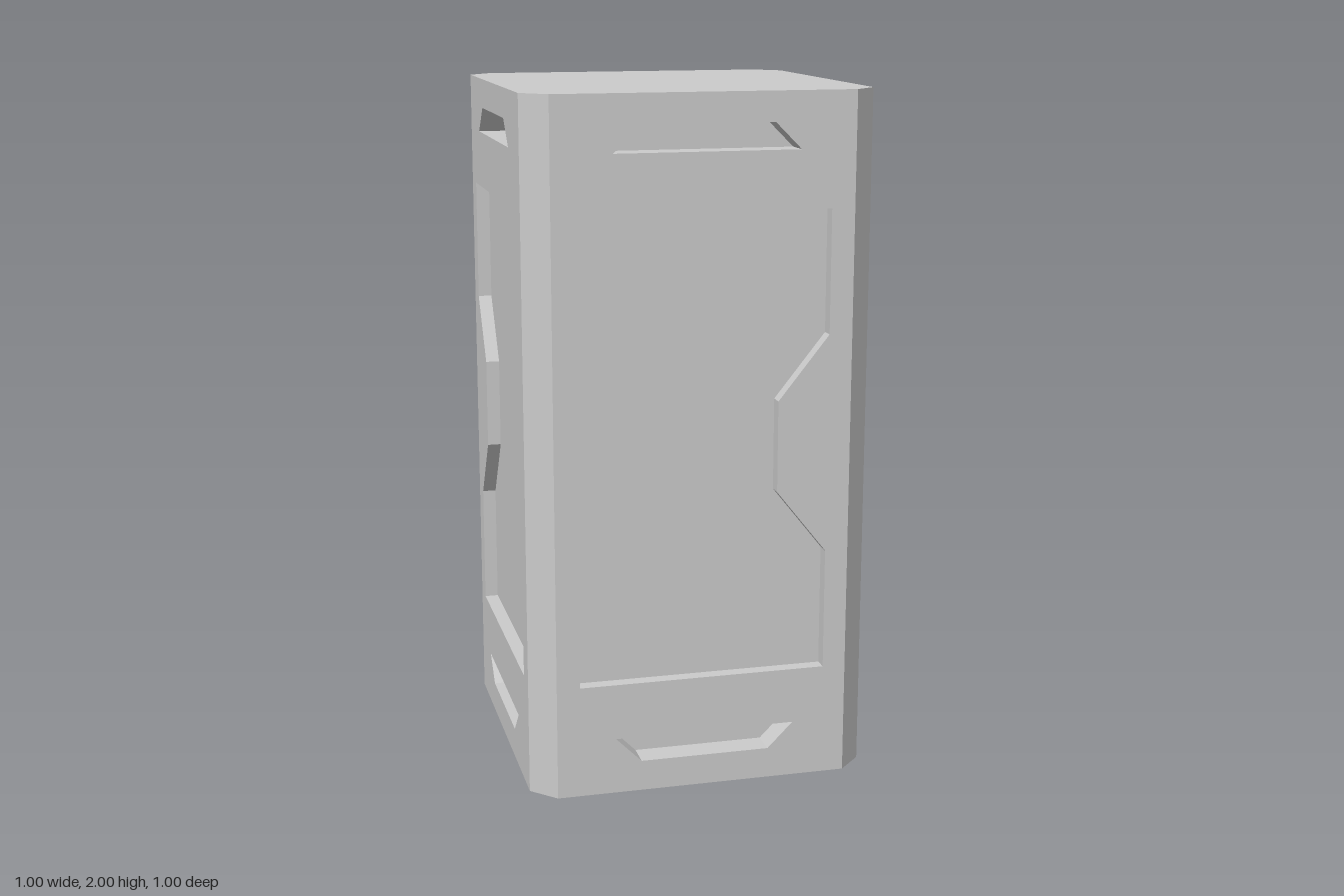
import * as THREE from 'three';

const HALF = 0.5, FLAT = 0.43, HEIGHT = 2;
const PANEL_DEPTH = 0.04, SLOT_DEPTH = 0.08;

const material = new THREE.MeshStandardMaterial({ color: 0xcccccc, flatShading: true });
const toPoints = (list) => list.map(([x, y]) => new THREE.Vector2(x, y));

function addMesh(parent, name, geometry) {
  const mesh = new THREE.Mesh(geometry, material);
  mesh.name = name;
  parent.add(mesh);
  return mesh;
}

// Walls running inward from a counter-clockwise outline
function wallGeometry(outline, depth) {
  const positions = [];
  outline.forEach((p, i) => {
    const q = outline[(i + 1) % outline.length];
    positions.push(p.x, p.y, 0, q.x, q.y, 0, q.x, q.y, -depth);
    positions.push(p.x, p.y, 0, q.x, q.y, -depth, p.x, p.y, -depth);
  });
  const geometry = new THREE.BufferGeometry();
  geometry.setAttribute('position', new THREE.Float32BufferAttribute(positions, 3));
  geometry.computeVertexNormals();
  return geometry;
}

// Rectangle pinched at the waist, counter-clockwise
function panelOutline(waist) {
  const w = 0.3625;
  return toPoints([
    [-w, 0.33], [w, 0.33], [w, 0.685], [waist, 0.87], [waist, 1.135], [w, 1.32],
    [w, 1.675], [-w, 1.675], [-w, 1.32], [-waist, 1.135], [-waist, 0.87], [-w, 0.685],
  ]);
}

// Trapezoid slot given its half widths at the bottom and top edges
function slotOutline(x, y, bottom, top) {
  return toPoints([
    [x - bottom, y], [x + bottom, y], [x + top, y + 0.075], [x - top, y + 0.075],
  ]);
}

function createSide(waist, slotX) {
  const side = new THREE.Group();
  const recesses = [
    ['panel', panelOutline(waist), PANEL_DEPTH],
    ['upperSlot', slotOutline(slotX, 1.84, 0.265, 0.19), SLOT_DEPTH],
    ['lowerSlot', slotOutline(slotX, 0.09, 0.19, 0.265), SLOT_DEPTH],
  ];

  // Flat face with the recess openings cut out
  const face = new THREE.Shape(toPoints([[-FLAT, 0], [FLAT, 0], [FLAT, HEIGHT], [-FLAT, HEIGHT]]));
  face.holes = recesses.map(([, outline]) => new THREE.Path(outline));
  addMesh(side, 'sideFace', new THREE.ShapeGeometry(face)).position.z = HALF;

  // Walls and floor of each recess
  for (const [name, outline, depth] of recesses) {
    addMesh(side, name + 'Walls', wallGeometry(outline, depth)).position.z = HALF;
    const floor = addMesh(side, name + 'Floor', new THREE.ShapeGeometry(new THREE.Shape(outline)));
    floor.position.z = HALF - depth;
  }
  return side;
}

export function createModel() {
  const model = new THREE.Group();
  model.name = 'crate';

  const sideNames = ['frontSide', 'leftSide', 'backSide', 'rightSide'];
  const bevelWidth = (HALF - FLAT) * Math.SQRT2;
  sideNames.forEach((name, i) => {
    // Front and back have the narrower waist
    const side = i % 2 ? createSide(0.235, -0.01) : createSide(0.215, 0.007);
    side.name = name;
    side.rotation.y = i * Math.PI / 2;
    model.add(side);

    // Bevelled corner post beside this side
    const angle = (i + 0.5) * Math.PI / 2;
    const radius = (HALF + FLAT) / Math.SQRT2;
    const bevel = addMesh(model, 'cornerBevel', new THREE.PlaneGeometry(bevelWidth, HEIGHT));
    bevel.rotation.y = angle;
    bevel.position.set(Math.sin(angle) * radius, HEIGHT / 2, Math.cos(angle) * radius);
  });

  // Octagonal top and bottom caps
  const capShape = new THREE.Shape(toPoints([
    [-FLAT, -HALF], [FLAT, -HALF], [HALF, -FLAT], [HALF, FLAT],
    [FLAT, HALF], [-FLAT, HALF], [-HALF, FLAT], [-HALF, -FLAT],
  ]));
  const top = addMesh(model, 'topCap', new THREE.ShapeGeometry(capShape));
  top.rotation.x = -Math.PI / 2;
  top.position.y = HEIGHT;
  addMesh(model, 'bottomCap', new THREE.ShapeGeometry(capShape)).rotation.x = Math.PI / 2;

  return model;
}
